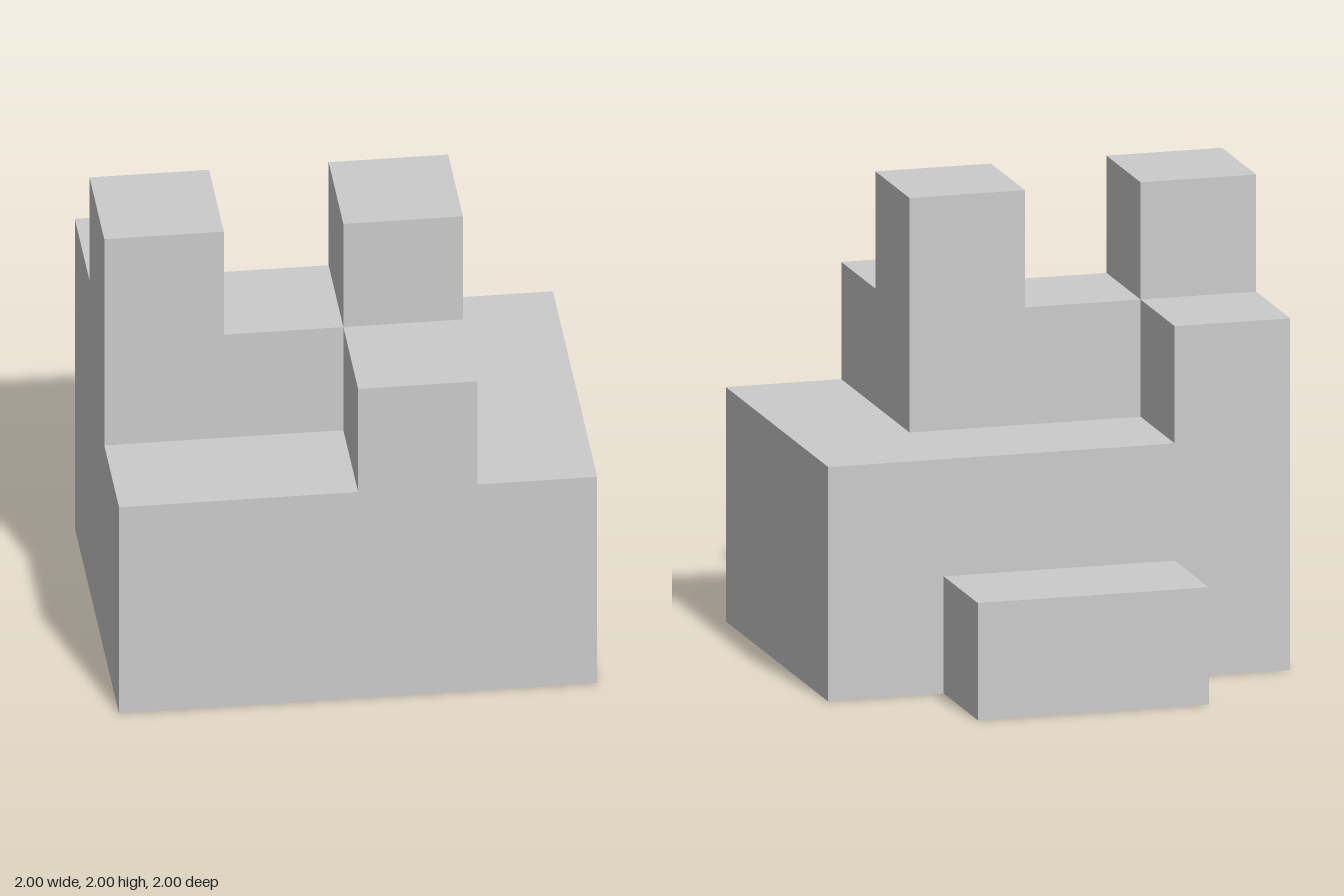
import * as THREE from 'three';

const material = new THREE.MeshStandardMaterial({ color: 0xcccccc, flatShading: true });

// Axis-aligned block given by its [min, max] range on each axis
function block(name, [x0, x1], [y0, y1], [z0, z1]) {
  const mesh = new THREE.Mesh(new THREE.BoxGeometry(x1 - x0, y1 - y0, z1 - z0), material);
  mesh.position.set((x0 + x1) / 2, (y0 + y1) / 2, (z0 + z1) / 2);
  mesh.name = name;
  return mesh;
}

export function createModel() {
  const model = new THREE.Group();
  model.name = 'steppedBlocks';

  // Wide base with a low step behind it
  model.add(block('base', [-1, 1], [0, 1], [-0.5, 1]));
  model.add(block('backStep', [-0.5, 0.5], [0, 0.5], [-1, -0.5]));

  // Twin towers joined by a lower saddle, as one notched profile
  const profile = new THREE.Shape([
    [-1, 1], [0.5, 1], [0.5, 2], [0, 2], [0, 1.5], [-0.5, 1.5], [-0.5, 2], [-1, 2],
  ].map(([x, y]) => new THREE.Vector2(x, y)));
  const towers = new THREE.Mesh(
    new THREE.ExtrudeGeometry(profile, { depth: 0.5, bevelEnabled: false }), material);
  towers.name = 'twinTowers';
  model.add(towers);

  // Half-height buttress blocks: one in front of the left tower, one behind the right
  model.add(block('frontButtress', [0, 0.5], [1, 1.5], [0.5, 1]));
  model.add(block('backButtress', [-1, -0.5], [1, 1.5], [-0.5, 0]));

  return model;
}
